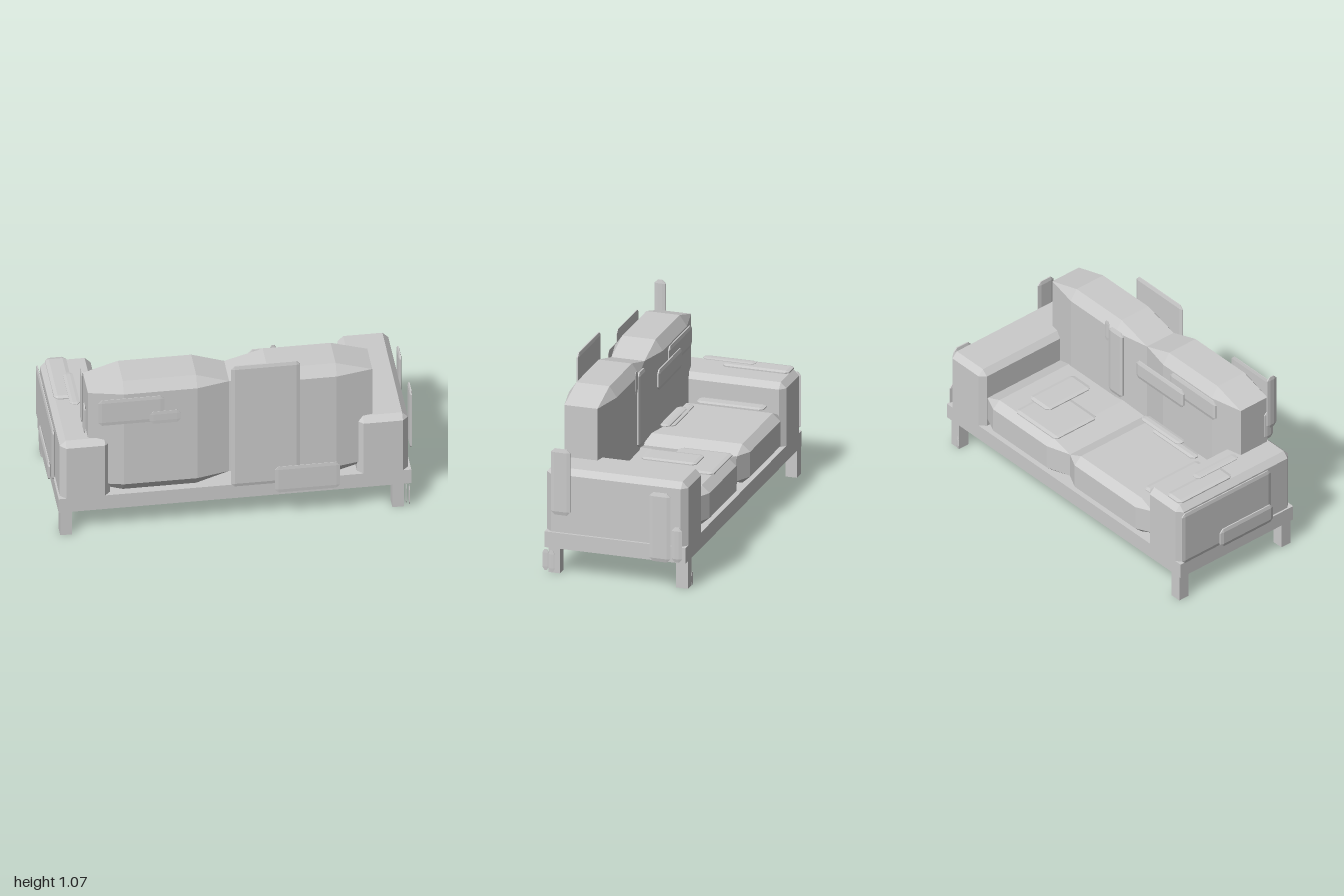
import * as THREE from 'three';
import { ConvexGeometry } from 'three/addons/geometries/ConvexGeometry.js';

const material = new THREE.MeshStandardMaterial({ color: 0xcccccc, flatShading: true });

function add(group, name, geometry) {
  const mesh = new THREE.Mesh(geometry, material);
  mesh.name = name;
  group.add(mesh);
  return mesh;
}

// Plain box given by its extents on each axis
function box(x, y, z) {
  return new THREE.BoxGeometry(x[1] - x[0], y[1] - y[0], z[1] - z[0])
    .translate((x[0] + x[1]) / 2, (y[0] + y[1]) / 2, (z[0] + z[1]) / 2);
}

// Box with every edge cut off; thin axes get a smaller cut
function chamferBox(x, y, z, cut) {
  const ext = [x, y, z];
  const c = ext.map(e => Math.min(cut, (e[1] - e[0]) * 0.3));
  const points = [];
  for (let k = 0; k < 8; k++) {
    for (let full = 0; full < 3; full++) {
      const p = ext.map((e, a) => {
        const side = (k >> a) & 1;
        const inset = a === full ? 0 : c[a];
        return side ? e[1] - inset : e[0] + inset;
      });
      points.push(new THREE.Vector3(...p));
    }
  }
  return new ConvexGeometry(points);
}

// Twin cushion: sections along x, small squares at the seams, cut-corner ones on the lobes
function cushion(xs, y, z, dy, dz) {
  const full = [0, 1, 1, 0, 1, 1, 0];
  const rings = xs.map((x, i) => {
    const u = full[i];
    const [z0, z1] = [z[0] + dz * (1 - u), z[1] - dz * (1 - u)];
    const [y0, y1] = [y[0] + dy * (1 - u), y[1] - dy * (1 - u)];
    const cy = dy * u, cz = dz * u;
    return [
      [z1 - cz, y0], [z0 + cz, y0], [z0, y0 + cy], [z0, y1 - cy],
      [z0 + cz, y1], [z1 - cz, y1], [z1, y1 - cy], [z1, y0 + cy],
    ].map(p => [x, p[1], p[0]]);
  });
  const pos = [];
  const tri = (...v) => v.forEach(p => pos.push(...p));
  for (let i = 0; i + 1 < rings.length; i++) {
    for (let j = 0; j < 8; j++) {
      const k = (j + 1) % 8;
      const a = rings[i][j], b = rings[i][k], c = rings[i + 1][k], d = rings[i + 1][j];
      tri(a, b, d);
      tri(b, c, d);
    }
  }
  const first = rings[0], last = rings[rings.length - 1];
  for (let j = 1; j < 7; j++) {
    tri(first[0], first[j + 1], first[j]);
    tri(last[0], last[j], last[j + 1]);
  }
  const g = new THREE.BufferGeometry();
  g.setAttribute('position', new THREE.Float32BufferAttribute(pos, 3));
  g.computeVertexNormals();
  return g;
}

export function createModel() {
  const sofa = new THREE.Group();
  sofa.name = 'sofa';

  // Base slab and legs
  add(sofa, 'base', box([-0.965, 0.957], [0.157, 0.247], [-0.435, 0.37]));
  for (const x of [[-0.955, -0.89], [0.855, 0.917]]) {
    for (const z of [[-0.435, -0.368], [0.295, 0.36]]) add(sofa, 'leg', box(x, [0, 0.16], z));
  }

  // Armrests
  add(sofa, 'rightArm', chamferBox([-0.955, -0.68], [0.215, 0.61], [-0.435, 0.37], 0.032));
  add(sofa, 'leftArm', chamferBox([0.665, 0.943], [0.215, 0.61], [-0.435, 0.37], 0.032));

  // Seat and backrest
  add(sofa, 'seat', cushion([-0.69, -0.6, -0.1, -0.01, 0.13, 0.57, 0.67],
    [0.247, 0.47], [-0.44, 0.25], 0.04, 0.045));
  add(sofa, 'backrest', cushion([-0.8, -0.61, -0.21, -0.03, 0.18, 0.55, 0.75],
    [0.25, 0.967], [0.097, 0.37], 0.06, 0.042));

  // Thin loose panels: [x, y, z] extents, grouped by where they sit
  const panels = {
    rearPanel: [
      [[-0.757, -0.398], [0.752, 0.919], [0.421, 0.428]],
      [[-0.48, -0.31], [0.75, 0.83], [0.441, 0.445]],
      [[-0.03, 0.347], [0.253, 1.05], [0.385, 0.401]],
      [[0.205, 0.56], [0.21, 0.38], [0.421, 0.428]],
    ],
    leftSidePanel: [
      [[0.955, 0.97], [0.355, 0.735], [0.22, 0.33]],
      [[0.978, 0.995], [0.165, 0.56], [-0.36, -0.24]],
      [[0.948, 0.963], [0.16, 0.36], [-0.415, -0.357]],
    ],
    legPanel: [
      [[0.944, 0.949], [0.022, 0.142], [0.348, 0.385]],
      [[0.93, 0.935], [0.01, 0.13], [0.318, 0.355]],
      [[0.85, 0.872], [0.005, 0.08], [-0.443, -0.438]],
    ],
    rightSidePanel: [
      [[-1, -0.983], [0.25, 0.365], [-0.175, 0.2]],
      [[-0.977, -0.962], [0.25, 0.58], [-0.43, 0.205]],
      [[-0.842, -0.829], [0.73, 1.068], [0.295, 0.36]],
      [[-0.826, -0.813], [0.65, 0.83], [0.29, 0.35]],
    ],
    armTopPanel: [
      [[-0.93, -0.815], [0.613, 0.631], [-0.41, -0.03]],
      [[-0.86, -0.805], [0.651, 0.659], [-0.22, 0.078]],
    ],
    backrestPanel: [
      [[-0.655, -0.28], [0.78, 0.905], [0.08, 0.096]],
      [[-0.42, -0.03], [0.745, 0.86], [0.055, 0.072]],
      [[0.11, 0.225], [0.5, 0.93], [0.08, 0.1]],
      [[0.225, 0.262], [0.82, 0.95], [0.088, 0.094]],
    ],
    seatPanel: [
      [[0.09, 0.43], [0.472, 0.488], [-0.41, -0.11]],
      [[0.27, 0.43], [0.515, 0.53], [-0.31, 0.005]],
      [[-0.65, -0.56], [0.485, 0.5], [-0.35, 0.03]],
      [[-0.535, -0.19], [0.48, 0.494], [0.025, 0.08]],
      [[-0.415, -0.1], [0.51, 0.522], [0.025, 0.08]],
    ],
  };
  for (const [name, list] of Object.entries(panels)) {
    for (const [x, y, z] of list) add(sofa, name, chamferBox(x, y, z, 0.02));
  }
  return sofa;
}
